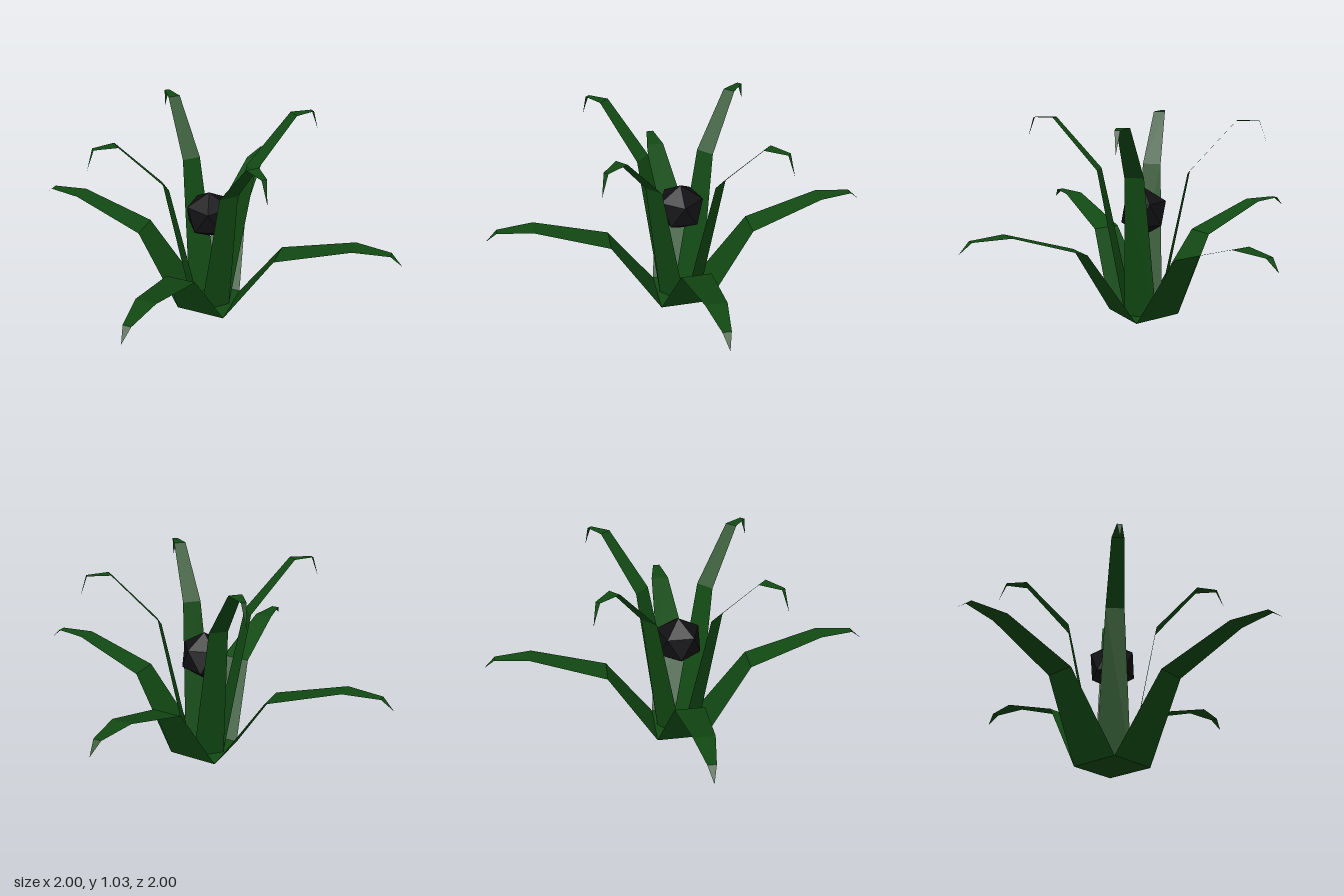
import * as THREE from 'three';

const leafMaterial = new THREE.MeshStandardMaterial({ color: 0x124a14, flatShading: true, side: THREE.DoubleSide });
const podMaterial = new THREE.MeshStandardMaterial({ color: 0x111114, flatShading: true });

// Cross-sections of a leaf from root to tip: [reach, height, half width]
const SECTIONS = [
  [0.133, 0, 0.133],
  [0.38, 0.39, 0.076],
  [0.76, 0.525, 0.05],
  [0.94, 0.525, 0.02],
  [1, 0.472, 0],
];

// Thin folded strip reaching towards +z, upper side facing up
function leafGeometry() {
  const positions = [];
  const index = [];
  SECTIONS.forEach(([reach, height, half], i) => {
    positions.push(-half, height, reach, half, height, reach);
    if (i === 0) return;
    const a = 2 * (i - 1);
    index.push(a, a + 2, a + 1);
    if (half > 0) index.push(a + 1, a + 2, a + 3);
  });
  const geometry = new THREE.BufferGeometry();
  geometry.setAttribute('position', new THREE.Float32BufferAttribute(positions, 3));
  geometry.setIndex(index);
  geometry.computeVertexNormals();
  return geometry;
}

export function createModel() {
  const model = new THREE.Group();
  model.name = 'plant';

  // Four wide low leaves, and four slim tall leaves between them
  const geometry = leafGeometry();
  for (let i = 0; i < 4; i++) {
    const low = new THREE.Mesh(geometry, leafMaterial);
    low.name = 'lowLeaf';
    low.rotation.y = (i * Math.PI) / 2;

    const tall = new THREE.Mesh(geometry, leafMaterial);
    tall.name = 'tallLeaf';
    tall.rotation.y = ((i + 0.5) * Math.PI) / 2;
    tall.scale.set(0.64, 1.965, 0.618);
    model.add(low, tall);
  }

  // Square underside closing the leaf roots
  const base = new THREE.Mesh(new THREE.PlaneGeometry(0.266, 0.266).rotateX(Math.PI / 2), leafMaterial);
  base.name = 'base';
  model.add(base);

  // Dark faceted pod, turned so one corner points straight up
  const pod = new THREE.Mesh(
    new THREE.IcosahedronGeometry(0.13, 0).rotateZ(-Math.atan(2 / (1 + Math.sqrt(5)))),
    podMaterial
  );
  pod.name = 'pod';
  pod.position.y = 0.55;
  model.add(pod);

  return model;
}
